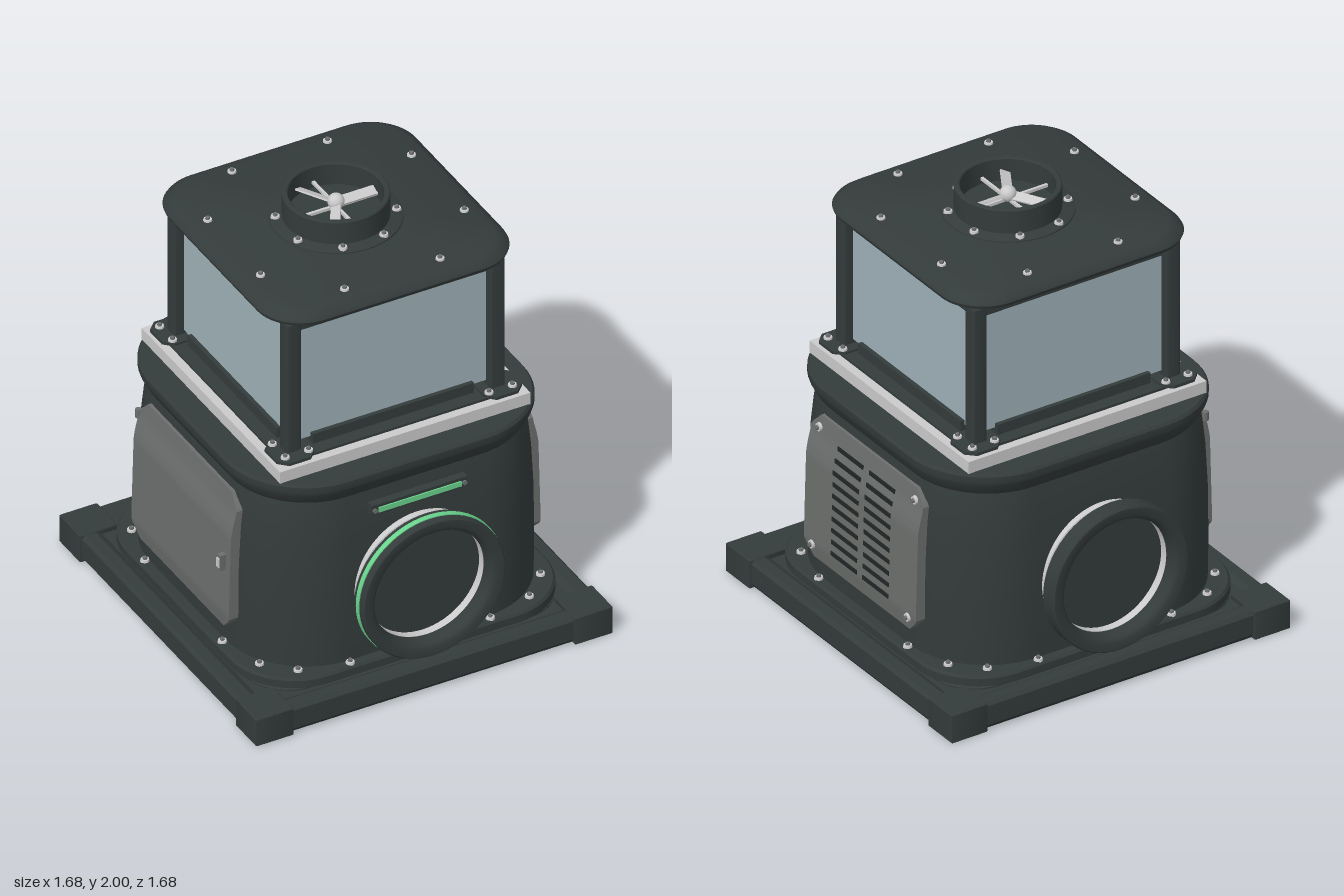
import * as THREE from 'three';
import { toCreasedNormals } from 'three/addons/utils/BufferGeometryUtils.js';

const mat = (name, color) => Object.assign(new THREE.MeshStandardMaterial({ color }), { name });
const M = {
  shell: mat('darkShell', 0x343b3b),
  panel: mat('greyPanel', 0x6c6f6d),
  light: mat('lightMetal', 0xcbcbcb),
  glass: mat('paleGlass', 0x9fb1b8),
  green: mat('greenGlow', 0x6ad48d),
  black: mat('blackSlot', 0x222727),
};

export function createModel() {
  const model = new THREE.Group();
  const add = (name, geo, material, x = 0, y = 0, z = 0, parent = model) => {
    const m = new THREE.Mesh(geo, material);
    m.name = name;
    m.position.set(x, y, z);
    parent.add(m);
    return m;
  };
  const box = (w, h, d) => new THREE.BoxGeometry(w, h, d);
  const shape = pts => new THREE.Shape(pts.map(p => new THREE.Vector2(...p)));
  const lathe = pts =>
    toCreasedNormals(new THREE.LatheGeometry(pts.map(p => new THREE.Vector2(...p)), 64), 0.6);

  // Closed stack of rounded squares; rows are [y, half width, corner radius]
  const loft = (rows, n = 14) => {
    const all = [[rows[0][0], 0, 0], ...rows, [rows[rows.length - 1][0], 0, 0]];
    const pos = [], idx = [], count = 4 * (n + 1);
    for (const [y, half, r] of all)
      for (let c = 0; c < 4; c++)
        for (let k = 0; k <= n; k++) {
          const a = (c + k / n) * Math.PI / 2, q = (c + 0.5) * Math.PI / 2, f = half - r;
          pos.push(Math.sign(Math.cos(q)) * f + Math.cos(a) * r, y, Math.sign(Math.sin(q)) * f + Math.sin(a) * r);
        }
    for (let i = 0; i < all.length - 1; i++)
      for (let j = 0; j < count; j++) {
        const a = i * count + j, b = i * count + (j + 1) % count;
        idx.push(a, a + count, b, b, a + count, b + count);
      }
    const g = new THREE.BufferGeometry();
    g.setAttribute('position', new THREE.Float32BufferAttribute(pos, 3));
    g.setIndex(idx);
    return toCreasedNormals(g, 0.5);
  };

  // Washer and head, standing on y unless turned
  const washerGeo = new THREE.CylinderGeometry(0.018, 0.02, 0.012, 14);
  const headGeo = new THREE.CylinderGeometry(0.009, 0.011, 0.012, 6);
  const bolt = (x, y, z, rz = 0) => {
    const g = new THREE.Group();
    g.name = 'bolt';
    add('washer', washerGeo, M.light, 0, 0, 0, g);
    add('boltHead', headGeo, M.panel, 0, 0.01, 0, g);
    g.position.set(x, y, z);
    g.rotation.z = rz;
    model.add(g);
  };
  const signs = [[1, 1], [1, -1], [-1, 1], [-1, -1]];

  // Base frame: bevelled rails and corner blocks around a recessed floor
  add('baseFloor', box(1.48, 0.014, 1.48), M.shell, 0, 0.105, 0);
  add('basePlate', loft([[0.105, 0.715, 0.2], [0.118, 0.715, 0.2], [0.135, 0.69, 0.2]]), M.shell);
  const railGeo = new THREE.ExtrudeGeometry(shape([[0.715, 0.03], [0.74, 0.004], [0.815, 0.004], [0.83, 0.025],
    [0.83, 0.115], [0.815, 0.13], [0.765, 0.13], [0.715, 0.1]]), { depth: 1.4, bevelEnabled: false })
    .translate(0, 0, -0.7);
  for (let i = 0; i < 4; i++)
    add('baseRail', railGeo, M.shell).rotation.y = i * Math.PI / 2;
  for (const [sx, sz] of signs)
    add('baseCorner', loft([[0, 0.085, 0.004], [0.004, 0.089, 0.004], [0.132, 0.089, 0.004], [0.136, 0.085, 0.004]], 2),
      M.shell, sx * 0.751, 0, sz * 0.751);

  // Body, its bottom flange and flared collar
  add('bodyFlange', loft([[0.13, 0.745, 0.3], [0.165, 0.745, 0.3], [0.176, 0.735, 0.29]]), M.shell);
  add('body', loft([[0.17, 0.7, 0.38], [0.35, 0.702, 0.38], [0.6, 0.7, 0.38], [0.8, 0.69, 0.37], [0.92, 0.678, 0.36],
    [0.99, 0.665, 0.35]]), M.shell);
  add('collar', loft([[0.975, 0.665, 0.35], [0.985, 0.672, 0.355], [1.035, 0.698, 0.375], [1.05, 0.703, 0.38],
    [1.078, 0.703, 0.38], [1.09, 0.693, 0.37]]), M.shell);
  for (const [sx, sz] of signs)
    for (const [a, b] of [[0.33, 0.718], [0.545, 0.662]]) {
      bolt(sx * a, 0.18, sz * b);
      bolt(sx * b, 0.18, sz * a);
    }

  // Lantern deck
  add('lightDeck', box(1.18, 0.057, 1.18), M.light, 0, 1.1175, 0);
  add('deckTop', box(1.1, 0.012, 1.1), M.shell, 0, 1.151, 0);

  // Glass lantern, square posts and sills
  add('lanternGlass', box(0.94, 0.56, 0.94), M.glass, 0, 1.465, 0);
  add('lanternHead', box(0.96, 0.065, 0.96), M.shell, 0, 1.775, 0);
  for (let i = 0; i < 4; i++) {
    const sill = new THREE.Group();
    sill.name = 'lanternSill';
    sill.rotation.y = i * Math.PI / 2;
    add('sill', box(0.76, 0.05, 0.06), M.shell, 0, 1.18, 0.46, sill);
    model.add(sill);
  }
  const postGeo = loft([[1.155, 0.034, 0.01], [1.805, 0.034, 0.01]], 4);
  const footGeo = new THREE.ExtrudeGeometry(shape([[-0.09, -0.05], [-0.05, -0.09], [0.05, -0.09], [0.09, -0.05],
    [0.09, 0.05], [0.05, 0.09], [-0.05, 0.09], [-0.09, 0.05]]), { depth: 0.014, bevelEnabled: false })
    .rotateX(-Math.PI / 2);
  for (const [sx, sz] of signs) {
    add('post', postGeo, M.shell, sx * 0.48, 0, sz * 0.48);
    add('postFoot', footGeo, M.shell, sx * 0.488, 1.153, sz * 0.488);
    bolt(sx * 0.535, 1.17, sz * 0.535);
    bolt(sx * 0.425, 1.17, sz * 0.535);
    bolt(sx * 0.535, 1.17, sz * 0.425);
  }

  // Bevelled roof
  add('roof', loft([[1.797, 0.537, 0.185], [1.822, 0.576, 0.205], [1.838, 0.582, 0.21], [1.85, 0.576, 0.21],
    [1.872, 0.547, 0.195], [1.878, 0.533, 0.19]]), M.shell);
  for (const [sx, sz] of signs) {
    bolt(sx * 0.225, 1.88, sz * 0.48);
    bolt(sx * 0.48, 1.88, sz * 0.225);
  }

  // Chimney with its fan
  add('chimneyFlange', lathe([[0, 1.87], [0.28, 1.87], [0.278, 1.884], [0.265, 1.89], [0, 1.89]]), M.shell);
  add('chimney', lathe([[0.224, 1.885], [0.224, 1.995], [0.219, 2], [0.204, 2], [0.199, 1.995], [0.199, 1.895], [0, 1.895]]),
    M.shell);
  for (let i = 0; i < 8; i++) {
    const a = (i + 0.5) * Math.PI / 4;
    bolt(0.252 * Math.cos(a), 1.893, 0.252 * Math.sin(a));
  }
  add('fanHub', new THREE.SphereGeometry(0.036, 20, 14), M.light, 0, 1.95, 0);
  for (let i = 0; i < 3; i++) {
    const arm = new THREE.Group();
    arm.name = 'fanBlade';
    arm.rotation.y = i * Math.PI * 2 / 3;
    add('blade', box(0.16, 0.008, 0.045), M.light, 0.105, 1.945, 0, arm).rotation.x = 0.4;
    model.add(arm);
  }
  add('fanBarAlong', box(0.013, 0.013, 0.39), M.light, 0, 1.925, 0);
  add('fanBarAcross', box(0.39, 0.013, 0.013), M.light, 0, 1.925, 0);

  // Round portholes, front and back
  for (const s of [1, -1]) {
    const port = new THREE.Group();
    port.name = s > 0 ? 'frontPorthole' : 'backPorthole';
    port.position.y = 0.51;
    port.rotation.y = s > 0 ? 0 : Math.PI;
    const ring = (name, pts, material) => add(name, lathe(pts).rotateX(Math.PI / 2), material, 0, 0, 0, port);
    ring('portNeck', [[0.3, 0.67], [0.3, 0.718], [0.285, 0.722], [0.285, 0.758], [0.266, 0.775], [0.266, 0.69]], M.light);
    ring('portRing', [[0.272, 0.755], [0.325, 0.755], [0.336, 0.763], [0.336, 0.834], [0.33, 0.84], [0.295, 0.84],
      [0.28, 0.832], [0.27, 0.815], [0.266, 0.785], [0.272, 0.755]], M.shell);
    ring('portLens', [[0.268, 0.738], [0, 0.738]], M.shell);
    if (s > 0) ring('portGlow', [[0.33, 0.783], [0.34, 0.783], [0.34, 0.807], [0.33, 0.807]], M.green);
    for (let i = 0; i < 8; i++) {
      const a = (i + 0.5) * Math.PI / 4;
      add('portStud', new THREE.CylinderGeometry(0.012, 0.012, 0.025, 8).rotateX(Math.PI / 2), M.shell,
        0.291 * Math.cos(a), 0.291 * Math.sin(a), 0.74, port);
    }
    model.add(port);
  }

  // Lamp bar above the front porthole
  add('lampHousing', box(0.45, 0.052, 0.06), M.shell, 0, 0.9, 0.683);
  add('lampStrip', box(0.39, 0.024, 0.008), M.green, 0, 0.9, 0.715);
  for (const s of [-1, 1])
    add('lampStud', new THREE.CylinderGeometry(0.011, 0.011, 0.01, 10).rotateX(Math.PI / 2), M.panel, s * 0.211, 0.9, 0.716);

  // Side panels, bent inward at the top, with cut corners
  const bend = [[0.275, 0.725], [0.35, 0.735], [0.75, 0.724], [0.8, 0.715], [0.85, 0.702], [0.94, 0.688]];
  const outer = y => {
    const i = Math.max(1, bend.findIndex(p => p[0] >= y - 1e-6));
    const [[y0, x0], [y1, x1]] = [bend[i - 1], bend[i]];
    return x0 + (x1 - x0) * (y - y0) / (y1 - y0);
  };
  const makePanel = () => {
    const g = new THREE.BoxGeometry(0.1, 0.665, 0.83, 1, 40, 1);
    const p = g.attributes.position;
    for (let i = 0; i < p.count; i++) {
      const y = Math.min(0.94, Math.max(0.275, p.getY(i) + 0.6075));
      const cut = Math.max(0, 0.06 - Math.min(y - 0.275, 0.94 - y));
      p.setXYZ(i, p.getX(i) > 0 ? outer(y) : 0.64, y, Math.sign(p.getZ(i)) * (0.415 - cut));
    }
    return toCreasedNormals(g, 0.5);
  };
  add('ventPanel', makePanel(), M.panel);
  add('doorPanel', makePanel().rotateY(Math.PI), M.panel);
  for (let row = 0; row < 10; row++)
    for (const s of [-1, 1]) {
      const y = 0.363 + row * 0.0545;
      add('ventSlot', box(0.009, 0.02, 0.19), M.black, outer(y) - 0.001, y, s * 0.117);
    }
  for (const z of [-0.355, 0.355])
    for (const y of [0.335, 0.885]) bolt(outer(y) + 0.004, y, z, -Math.PI / 2);

  // Door latch and hinges
  add('doorLatch', box(0.04, 0.075, 0.026), M.panel, -0.735, 0.61, 0.365);
  add('doorLatchCap', box(0.01, 0.045, 0.02), M.light, -0.756, 0.61, 0.365);
  for (const y of [0.35, 0.86])
    add('doorHinge', new THREE.CylinderGeometry(0.014, 0.014, 0.04, 12), M.panel, -0.698, y, -0.42);

  return model;
}
